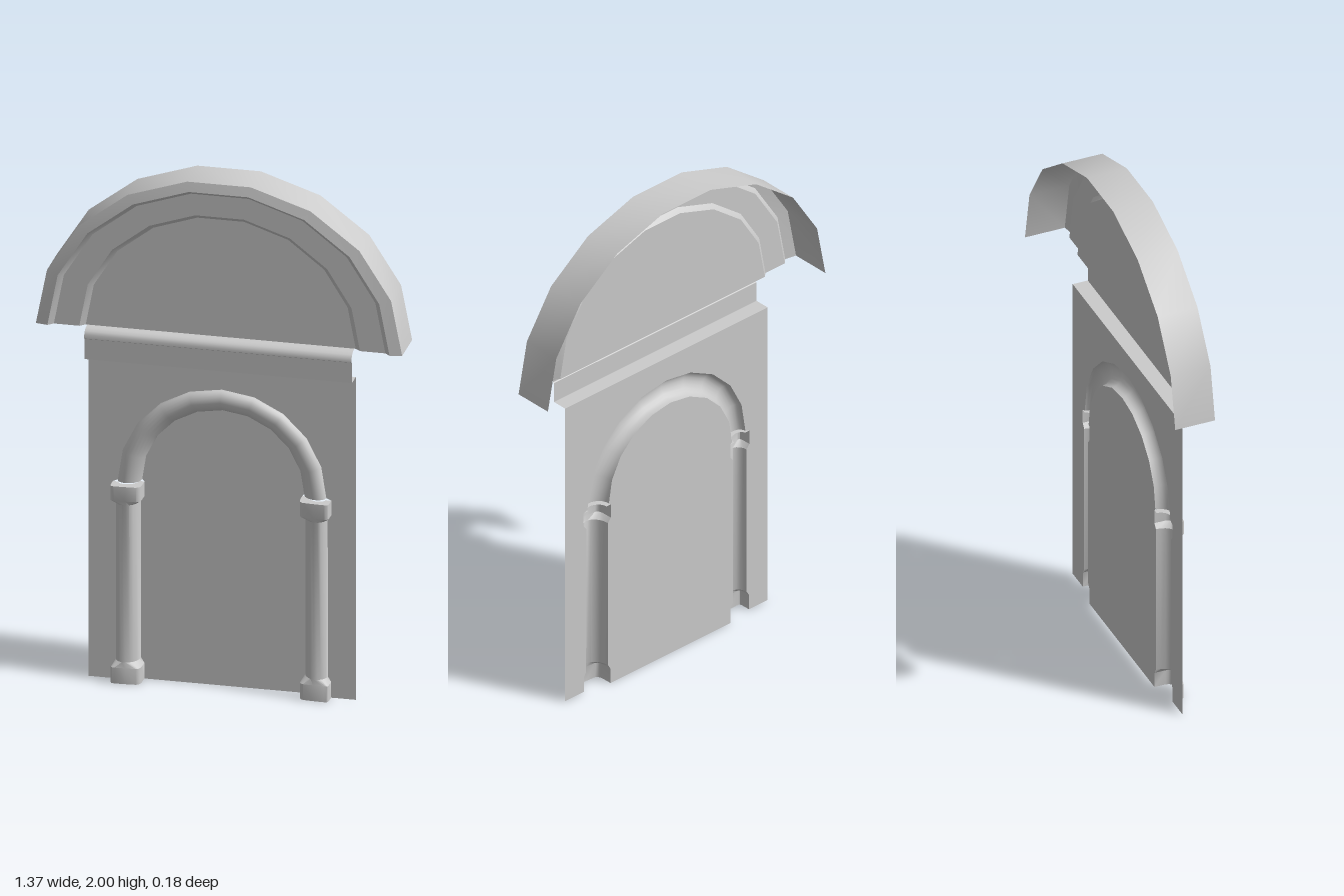
import * as THREE from 'three';
import { toCreasedNormals } from 'three/addons/utils/BufferGeometryUtils.js';

const WALL_Z = 0.019, PANEL_Z = -0.003; // outer wall and recessed panel
const COL_X = 0.352, SPRING_Y = 0.775, HOOD_Y = 1.39;
const material = new THREE.MeshStandardMaterial({ color: 0xcccccc, side: THREE.DoubleSide });

function addMesh(parent, name, geometry) {
  const mesh = new THREE.Mesh(geometry, material);
  mesh.name = name;
  parent.add(mesh);
  return mesh;
}

// Open sheet through rows of [x, y, z] points
function sheet(rows) {
  const n = rows[0].length, index = [];
  for (let i = 0; i < rows.length - 1; i++) {
    for (let j = 0; j < n - 1; j++) {
      const a = i * n + j, b = a + 1, c = a + n, d = c + 1;
      index.push(a, b, c, b, d, c);
    }
  }
  const g = new THREE.BufferGeometry();
  g.setAttribute('position', new THREE.Float32BufferAttribute(rows.flat(2), 3));
  g.setIndex(index);
  return toCreasedNormals(g, 0.6);
}

// Half-round section from the panel edge to the wall edge, as [offset, z];
// a power below 1 makes it squarer
function section(half, depth, power, steps = 10) {
  return Array.from({ length: steps + 1 }, (_, i) => {
    const a = Math.PI * (1 - i / steps), c = Math.cos(a), s = Math.max(0, Math.sin(a));
    const base = THREE.MathUtils.lerp(PANEL_Z, WALL_Z, i / steps);
    return [half * Math.sign(c) * Math.abs(c) ** power, base + depth * s ** power];
  });
}

// Column levels: height, half width, depth, squareness
const LEVELS = [
  [0, 0.056, 0.059, 0.3], [0.062, 0.056, 0.059, 0.3], [0.082, 0.044, 0.052, 1],
  [0.7, 0.043, 0.052, 1], [0.718, 0.057, 0.059, 0.3], [SPRING_Y, 0.057, 0.059, 0.3],
  [SPRING_Y, 0.036, 0.03, 1],
];
const ARCH_HALF = 0.043, ARCH_STEPS = 10;

// Outline of the arch and columns on their wall side (1) or panel side (-1)
function archOutline(side) {
  const right = LEVELS.slice(0, 6).map(([y, half]) => [COL_X + side * half, y]);
  const r = COL_X - 0.005 + side * ARCH_HALF, arc = [];
  for (let i = 0; i <= ARCH_STEPS; i++) {
    const a = (Math.PI * i) / ARCH_STEPS;
    arc.push([r * Math.cos(a), SPRING_Y + 0.008 + r * Math.sin(a)]);
  }
  const left = right.map(([x, y]) => [-x, y]).reverse();
  return [...right, ...arc, ...left].map(([x, y]) => new THREE.Vector2(x, y));
}

const ellipse = (rx, ry, z, steps = 9) => Array.from({ length: steps + 1 }, (_, i) => {
  const a = (Math.PI * i) / steps;
  return [rx * Math.cos(a), HOOD_Y + ry * Math.sin(a), z];
});

export function createModel() {
  const model = new THREE.Group();
  model.name = 'archedNiche';

  // Wall around the arch, and the panel set back inside it
  const corners = [[-0.5, 0], [-0.5, 1.27], [0.5, 1.27], [0.5, 0]];
  const wall = new THREE.Shape([
    ...corners.map(([x, y]) => new THREE.Vector2(x, y)), ...archOutline(1)]);
  addMesh(model, 'wall', new THREE.ShapeGeometry(wall)).position.z = WALL_Z;
  addMesh(model, 'recessedPanel', new THREE.ShapeGeometry(new THREE.Shape(archOutline(-1))))
    .position.z = PANEL_Z;

  // Hollow half columns with square bases and capitals
  for (const [name, side] of [['leftColumn', 1], ['rightColumn', -1]]) {
    const rows = LEVELS.map(([y, half, depth, power]) => {
      const row = section(half, depth, power).map(([o, z]) => [side * (COL_X + o), y, z]);
      return side > 0 ? row : row.reverse();
    });
    addMesh(model, name, sheet(rows));
  }

  // Half-round arch moulding
  const archRows = Array.from({ length: ARCH_STEPS + 1 }, (_, i) => {
    const a = (Math.PI * i) / ARCH_STEPS;
    return section(ARCH_HALF, 0.039, 1).map(([o, z]) => {
      const r = COL_X - 0.005 + o;
      return [r * Math.cos(a), SPRING_Y + 0.008 + r * Math.sin(a), z];
    });
  });
  addMesh(model, 'archMoulding', sheet(archRows));

  // Cornice profile as [y, z], run across the wall
  const cornice = [[1.27, WALL_Z], [1.27, 0.079], [1.35, 0.08], [1.353, 0.085],
    [1.368, 0.085], [1.38, 0.077], [1.387, 0.062], [HOOD_Y, 0.04]];
  addMesh(model, 'cornice', sheet(cornice.map(([y, z]) => [[-0.5, y, z], [0.5, y, z]])));

  // Arched hood with two stepped rings, open at the back
  const hood = [[0.685, 0.619, -0.09], [0.685, 0.619, 0.068], [0.64, 0.582, 0.077],
    [0.62, 0.568, 0.058], [0.525, 0.483, 0.058], [0.505, 0.467, 0.04]];
  addMesh(model, 'hood', sheet(hood.map(([rx, ry, z]) => ellipse(rx, ry, z))));

  // Flat panel filling the hood
  const infill = new THREE.Shape(ellipse(0.505, 0.467, 0).map(([x, y]) => new THREE.Vector2(x, y)));
  addMesh(model, 'hoodPanel', new THREE.ShapeGeometry(infill)).position.z = 0.04;

  return model;
}
